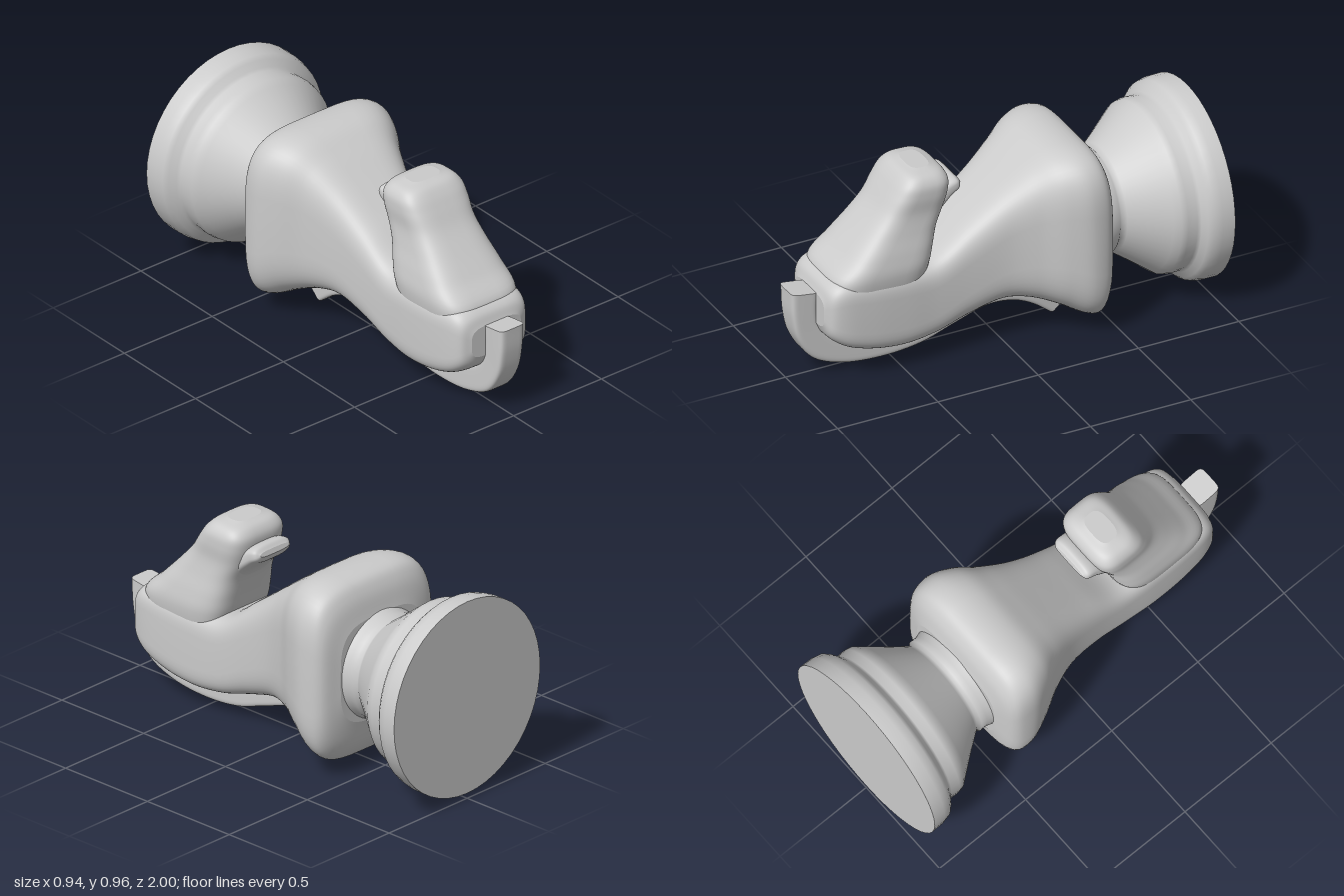
import * as THREE from 'three';

const material = new THREE.MeshStandardMaterial({ color: 0xcccccc });

// Superellipse loft. Station: [z0, y0, z1, y1, halfWidth, exponent];
// the two points are opposite edges of the section in the z-y plane.
function loft(name, stations, perSpan = 6, sides = 56) {
  const curveP = new THREE.CatmullRomCurve3(stations.map(s => new THREE.Vector3(s[0], s[1], s[4])));
  const curveQ = new THREE.CatmullRomCurve3(stations.map(s => new THREE.Vector3(s[2], s[3], s[5] / 10)));
  const rows = (stations.length - 1) * perSpan;
  const pos = [], index = [];
  const power = (v, n) => Math.sign(v) * Math.pow(Math.abs(v), 2 / n);
  for (let i = 0; i <= rows; i++) {
    const p = curveP.getPoint(i / rows), q = curveQ.getPoint(i / rows);
    const n = Math.max(2, q.z * 10);
    for (let j = 0; j < sides; j++) {
      const a = (j / sides) * Math.PI * 2;
      const s = (1 + power(Math.sin(a), n)) / 2;
      pos.push(p.z * power(Math.cos(a), n), p.y + (q.y - p.y) * s, p.x + (q.x - p.x) * s);
    }
  }
  for (let i = 0; i < rows; i++) {
    for (let j = 0; j < sides; j++) {
      const k = (j + 1) % sides;
      const a = i * sides + j, b = i * sides + k, c = a + sides, d = b + sides;
      index.push(a, b, c, b, d, c);
    }
  }
  // Flat end caps with their own vertices
  for (const row of [0, rows]) {
    const start = pos.length / 3;
    const center = [0, 0, 0];
    for (let j = 0; j < sides; j++) {
      const o = (row * sides + j) * 3;
      for (let m = 0; m < 3; m++) {
        pos.push(pos[o + m]);
        center[m] += pos[o + m] / sides;
      }
    }
    pos.push(...center);
    for (let j = 0; j < sides; j++) {
      const a = start + j, b = start + (j + 1) % sides;
      if (row) index.push(start + sides, a, b);
      else index.push(start + sides, b, a);
    }
  }
  const geometry = new THREE.BufferGeometry();
  geometry.setAttribute('position', new THREE.Float32BufferAttribute(pos, 3));
  geometry.setIndex(index);
  geometry.computeVertexNormals();
  const mesh = new THREE.Mesh(geometry, material);
  mesh.name = name;
  return mesh;
}

function createBase() {
  const group = new THREE.Group();
  group.name = 'base';
  // Profile as [radius, distance behind the middle]
  const profile = [
    [0.265, 0.44], [0.258, 0.48], [0.25, 0.51], [0.25, 0.54], [0.235, 0.555], [0.25, 0.575],
    [0.305, 0.65], [0.375, 0.74], [0.398, 0.77], [0.404, 0.8], [0.402, 0.845], [0.412, 0.86],
    [0.44, 0.88], [0.458, 0.9], [0.467, 0.94], [0.468, 1],
  ].map(([r, y]) => new THREE.Vector2(r, y));
  const turned = new THREE.Mesh(new THREE.LatheGeometry(profile, 48).rotateX(-Math.PI / 2), material);
  turned.name = 'turnedPedestal';
  const foot = new THREE.Mesh(new THREE.CircleGeometry(0.468, 48).rotateY(Math.PI), material);
  foot.name = 'footDisc';
  foot.position.z = -1;
  group.add(turned, foot);
  group.position.y = 0.497;
  return group;
}

export function createModel() {
  const model = new THREE.Group();
  model.name = 'carvedPiece';

  // Flared shoulders tapering to the blunt front
  const body = loft('body', [
    [-0.48, 0.25, -0.48, 0.745, 0.265, 3.5],
    [-0.45, 0.12, -0.45, 0.85, 0.35, 4],
    [-0.41, 0.068, -0.41, 0.905, 0.378, 4.2],
    [-0.35, 0.085, -0.33, 0.925, 0.385, 4.2],
    [-0.25, 0.14, -0.23, 0.91, 0.35, 4],
    [-0.13, 0.19, -0.13, 0.85, 0.287, 4],
    [0, 0.21, 0, 0.755, 0.238, 4],
    [0.17, 0.17, 0.17, 0.63, 0.213, 4],
    [0.34, 0.125, 0.34, 0.515, 0.208, 4.5],
    [0.5, 0.115, 0.5, 0.51, 0.215, 5],
    [0.67, 0.14, 0.67, 0.52, 0.217, 5],
    [0.79, 0.185, 0.8, 0.52, 0.208, 5],
    [0.855, 0.235, 0.855, 0.49, 0.185, 4.5],
    [0.88, 0.285, 0.88, 0.44, 0.14, 4],
  ]);

  // Upright head rising from the front of the body
  const head = loft('head', [
    [0.78, 0.36, 0.4, 0.36, 0.19, 4],
    [0.835, 0.5, 0.345, 0.51, 0.213, 4],
    [0.74, 0.6, 0.325, 0.59, 0.203, 3.8],
    [0.65, 0.695, 0.3, 0.68, 0.182, 3.6],
    [0.575, 0.78, 0.265, 0.76, 0.17, 3.6],
    [0.525, 0.855, 0.243, 0.84, 0.174, 3.6],
    [0.49, 0.905, 0.242, 0.895, 0.168, 3.6],
    [0.455, 0.94, 0.265, 0.932, 0.14, 3.4],
    [0.41, 0.955, 0.31, 0.953, 0.08, 3],
  ]);

  // Small lip jutting from the back of the head
  const lip = loft('lip', [
    [0.4, 0.77, 0.315, 0.66, 0.12, 3],
    [0.32, 0.81, 0.272, 0.725, 0.125, 3],
    [0.255, 0.858, 0.22, 0.772, 0.118, 3],
    [0.205, 0.868, 0.182, 0.8, 0.112, 3],
    [0.18, 0.848, 0.172, 0.825, 0.09, 3],
  ]);

  // Strip curling under the body and up the front
  const strip = loft('strip', [
    [-0.3, 0.005, -0.365, 0.065, 0.055, 6],
    [-0.2, 0.08, -0.24, 0.165, 0.06, 6],
    [-0.1, 0.124, -0.11, 0.22, 0.063, 6],
    [0.02, 0.135, 0.03, 0.235, 0.065, 6],
    [0.18, 0.088, 0.2, 0.19, 0.065, 6],
    [0.35, 0.032, 0.37, 0.145, 0.065, 6],
    [0.55, 0.014, 0.55, 0.14, 0.065, 6],
    [0.75, 0.037, 0.71, 0.17, 0.065, 6],
    [0.89, 0.1, 0.81, 0.215, 0.065, 6],
    [0.965, 0.21, 0.86, 0.28, 0.065, 6],
    [0.993, 0.33, 0.87, 0.35, 0.066, 6],
    [1, 0.457, 0.865, 0.437, 0.067, 6],
  ]);

  model.add(createBase(), body, head, lip, strip);
  return model;
}
